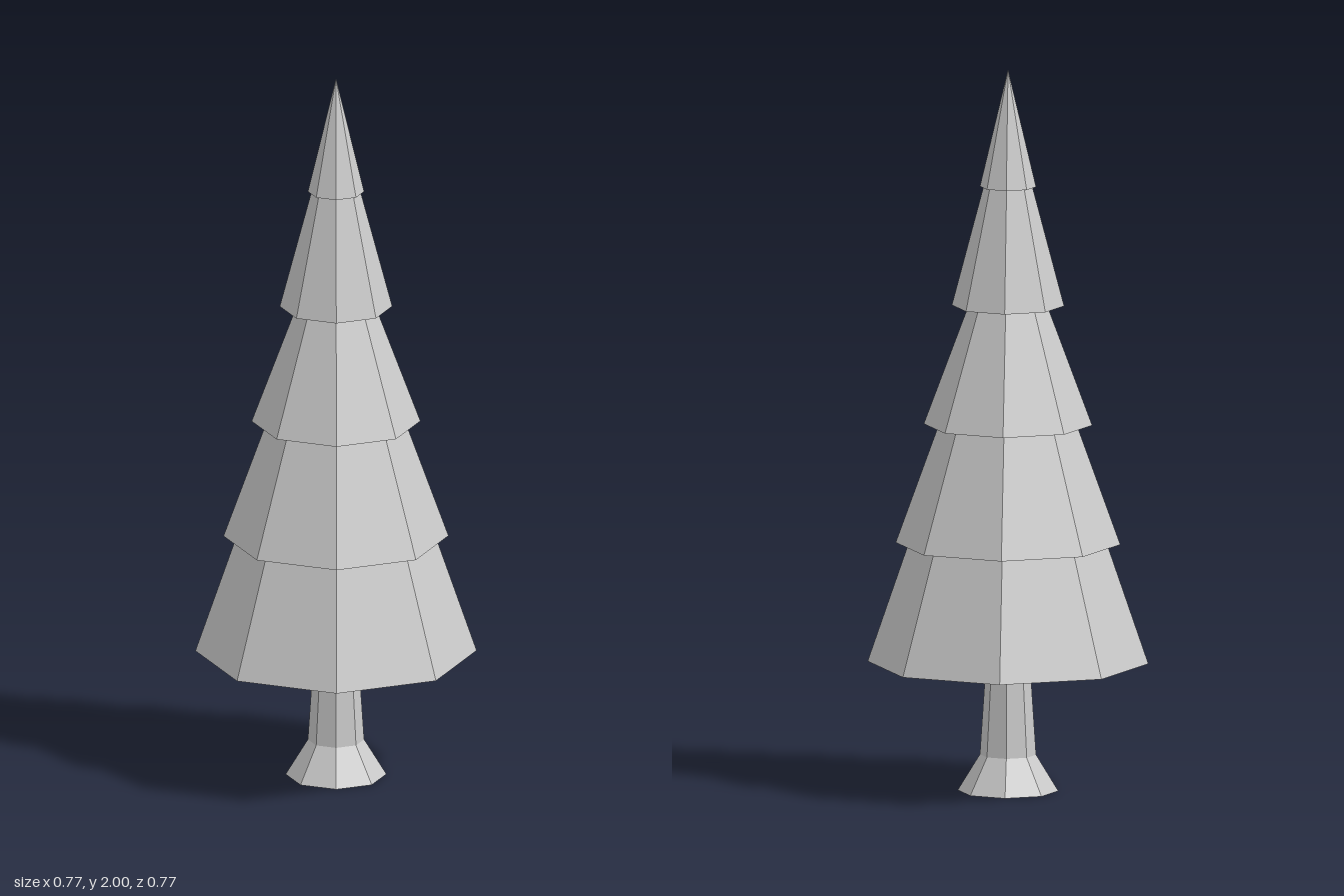
import * as THREE from 'three';

const SIDES = 8;

export function createModel() {
  const tree = new THREE.Group();
  tree.name = 'firTree';
  const material = new THREE.MeshStandardMaterial({ color: 0xcccccc, flatShading: true });

  // Eight-sided tapered section standing on height y
  function addSection(name, bottomRadius, topRadius, y, height) {
    const geometry = new THREE.CylinderGeometry(topRadius, bottomRadius, height, SIDES);
    const mesh = new THREE.Mesh(geometry, material);
    mesh.name = name;
    mesh.position.y = y + height / 2;
    tree.add(mesh);
  }

  // Trunk with flared foot
  addSection('trunkFoot', 0.138, 0.077, 0, 0.1);
  addSection('trunk', 0.077, 0.06, 0.1, 0.26);

  // Foliage tiers, shrinking evenly; each ends inside the tier above
  const topRadii = [0.272, 0.189, 0.108, 0.067, 0];
  const step = 0.33;
  topRadii.forEach((topRadius, i) => {
    const y = 0.355 + i * step;
    const height = i === topRadii.length - 1 ? 2 - y : step;
    addSection('foliageTier' + (i + 1), 0.077 * (5 - i), topRadius, y, height);
  });

  return tree;
}
